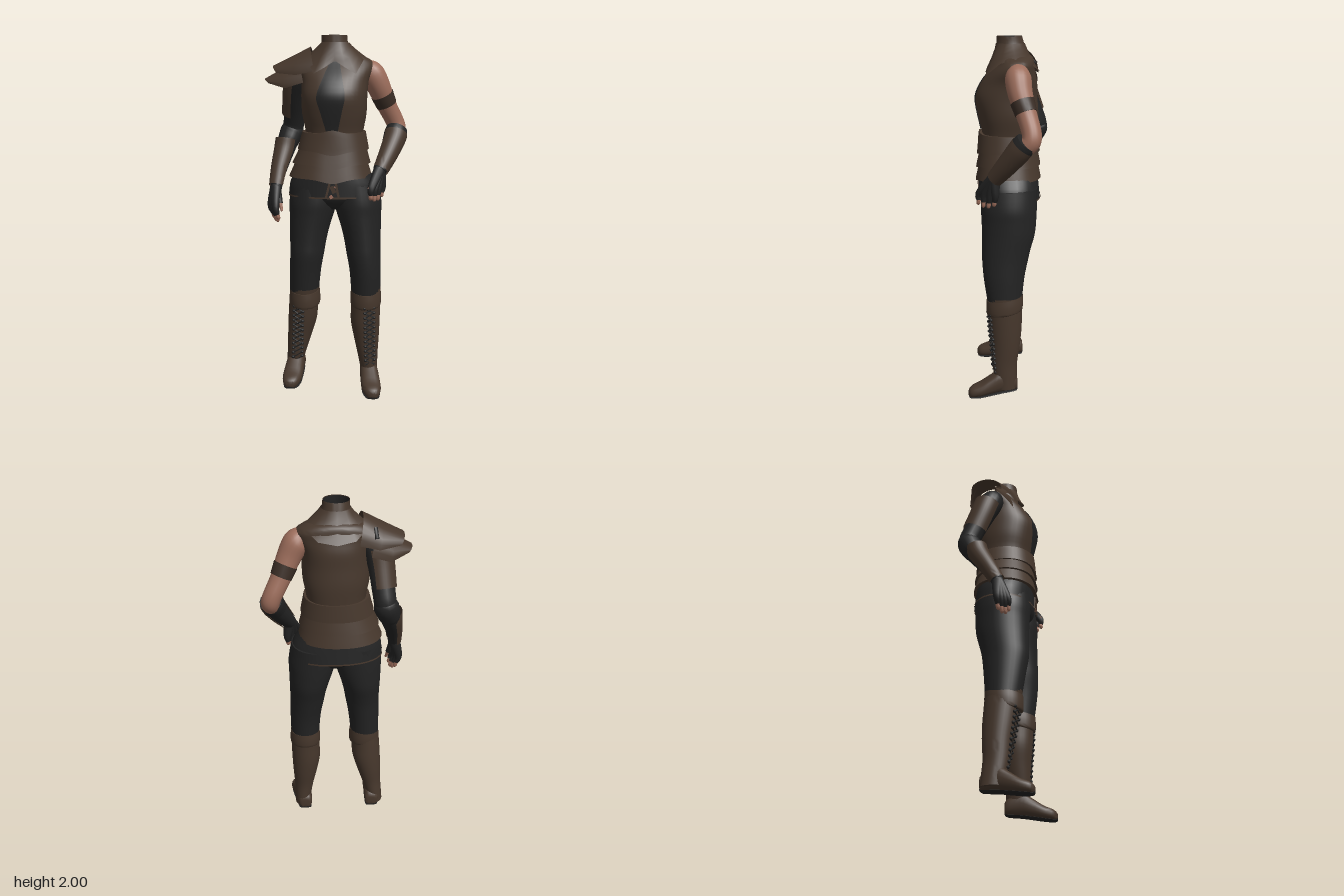
import * as THREE from 'three';
import { toCreasedNormals } from 'three/addons/utils/BufferGeometryUtils.js';

const mat = (name, color, side = THREE.FrontSide) => {
  const m = new THREE.MeshStandardMaterial({ color, side });
  m.name = name;
  return m;
};
const V = (x, y, z) => new THREE.Vector3(x, y, z);

// Catmull-Rom smoothing of a list of equal-length number rows
function smooth(keys, sub = 4) {
  const out = [], n = keys.length, at = i => keys[Math.min(n - 1, Math.max(0, i))];
  for (let i = 0; i < n - 1; i++) for (let s = 0; s < sub; s++) {
    const t = s / sub, [a, b, c, d] = [at(i - 1), at(i), at(i + 1), at(i + 2)];
    out.push(b.map((q, k) => q + 0.5 * t * (c[k] - a[k] + t * (2 * a[k] - 5 * q + 4 * c[k] - d[k]
      + t * (3 * (q - c[k]) + d[k] - a[k])))));
  }
  out.push(keys[n - 1]);
  return out;
}

// Surface over rows of points, optionally closed round and capped at the ends
function skin(rows, closed = true, cap = true) {
  if (cap) {
    const mid = r => { const c = r.reduce((s, p) => s.add(p), V(0, 0, 0)).divideScalar(r.length); return r.map(() => c); };
    rows = [mid(rows[0]), ...rows, mid(rows[rows.length - 1])];
  }
  const m = rows[0].length, idx = [];
  for (let i = 0; i < rows.length - 1; i++) for (let j = 0; j < (closed ? m : m - 1); j++) {
    const k = (j + 1) % m, a = i * m + j, b = i * m + k;
    idx.push(a, b, a + m, b, b + m, a + m);
  }
  const g = new THREE.BufferGeometry().setFromPoints(rows.flat());
  g.setIndex(idx);
  return toCreasedNormals(g, 0.8);
}

const pw = (v, n) => Math.sign(v) * Math.abs(v) ** (2 / n);

// Horizontal rings listed downward: [y, cx, cz, rx, rz]
function loft(keys, { n = 2, seg = 32, sub = 4, cap = true, warp } = {}) {
  const rows = smooth(keys, sub).map(([y, cx, cz, rx, rz]) => Array.from({ length: seg }, (_, j) => {
    const a = j / seg * Math.PI * 2;
    const p = V(cx - rx * pw(Math.cos(a), n), y, cz - rz * pw(Math.sin(a), n));
    if (warp) warp(p);
    return p;
  }));
  return skin(rows, true, cap);
}

// Front depth of a loft at x, y
function frontZ(keys, x, y, n = 2) {
  const r = smooth(keys, 4), i = Math.max(1, r.findIndex(q => q[0] <= y));
  const t = (r[i - 1][0] - y) / (r[i - 1][0] - r[i][0]);
  const [, cx, cz, rx, rz] = r[i].map((q, k) => r[i - 1][k] + (q - r[i - 1][k]) * t);
  return cz + rz * Math.max(0, 1 - Math.abs((x - cx) / rx) ** n) ** (1 / n);
}

// Round limb along a path: [x, y, z, r]; arc limits how far it wraps
function limb(keys, { seg = 18, sub = 5, arc } = {}) {
  const k = smooth(keys, sub), P = k.map(q => V(q[0], q[1], q[2]));
  const rows = k.map((q, i) => {
    const t = P[Math.min(i + 1, P.length - 1)].clone().sub(P[Math.max(i - 1, 0)]).normalize();
    const u = t.clone().cross(V(0, 0, 1)).normalize(), v = t.clone().cross(u);
    const count = arc ? seg + 1 : seg, [a0, a1] = arc || [0, Math.PI * 2];
    return Array.from({ length: count }, (_, j) => {
      const a = a0 + (a1 - a0) * j / seg;
      return P[i].clone().addScaledVector(u, q[3] * Math.cos(a)).addScaledVector(v, q[3] * Math.sin(a));
    });
  });
  return skin(rows, !arc, !arc);
}

export function createModel() {
  const root = new THREE.Group();
  const leather = mat('brown leather', 0x46372c), plate = mat('brown leather plate', 0x46372c, THREE.DoubleSide);
  const black = mat('black cloth', 0x232323), lining = mat('black lining', 0x232323, THREE.DoubleSide);
  const flesh = mat('skin', 0x9c6d5b), band = mat('dark strap', 0x3a2d25);
  const add = (name, geo, m, parent = root) => {
    const o = new THREE.Mesh(geo, m);
    o.name = name;
    parent.add(o);
    return o;
  };

  // Vest
  const torso = [
    [1.905, -0.005, -0.035, 0.1, 0.075], [1.89, 0, -0.04, 0.15, 0.09], [1.86, 0, -0.038, 0.198, 0.1],
    [1.82, 0, -0.022, 0.2, 0.12], [1.76, -0.005, -0.005, 0.183, 0.15], [1.68, -0.01, 0.01, 0.18, 0.168],
    [1.58, -0.01, 0, 0.176, 0.164], [1.47, -0.01, -0.008, 0.158, 0.15], [1.35, -0.02, 0, 0.17, 0.15]];
  add('vest', loft(torso, { n: 2.3, seg: 40 }), leather);

  // Dark chest panel following the vest
  const panel = smooth([[1.86, -0.03, 0.02], [1.78, -0.065, 0.035], [1.68, -0.1, 0.05], [1.6, -0.08, 0.035], [1.48, -0.045, 0.01]])
    .map(([y, a, b]) => Array.from({ length: 9 }, (_, j) => {
      const x = a + (b - a) * j / 8;
      return V(x, y, frontZ(torso, x, y, 2.3) + 0.005);
    }));
  add('chestPanel', skin(panel, false, false), lining);

  // Collar stand, dark inside, and folded pointed flap
  const neck = [[2.0, -0.01, -0.006, 0.069, 0.067], [1.95, -0.008, -0.012, 0.074, 0.076], [1.87, 0, -0.02, 0.1, 0.09]];
  add('collarStand', loft(neck, { cap: false }), plate);
  add('collarLining', loft(neck.map(([y, x, z, a, b]) => [y - 0.002, x, z, a - 0.004, b - 0.004]), { cap: false }), lining);
  add('neckFill', loft([[1.92, -0.008, -0.015, 0.076, 0.076], [1.9, -0.008, -0.015, 0.076, 0.076]]), black);
  const half = [[0.055, 1.83, 0.115], [0.112, 1.798, 0.124], [0.15, 1.865, 0.045], [0.165, 1.885, -0.035], [0.14, 1.865, -0.11], [0.095, 1.83, -0.152]];
  const rim = [[0, 1.865, 0.09], ...half, [0, 1.815, -0.168], ...half.map(([x, y, z]) => [-x, y, z]).reverse()];
  const flap = [0, 0.25, 0.5, 0.75, 1].map(t => rim.map(([x, y, z]) => {
    const a = Math.atan2(x, z + 0.015), s = t ** 1.15;
    const top = V(-0.007 + Math.sin(a) * 0.076, 1.962, -0.011 + Math.cos(a) * 0.077);
    return V(top.x + (x - 0.004 - top.x) * s, top.y + (y - top.y) * t, top.z + (z - top.z) * s);
  }));
  add('collarFlap', skin(flap, true, false), plate);

  // Three overlapping waist tiers, dipping at the front
  const dip = p => { if (p.z > 0) p.y -= 0.022 * Math.exp(-(((p.x + 0.015) / 0.07) ** 2)); };
  const peak = p => { if (p.z > 0 && p.y > 1.45) p.y += 0.018 * Math.exp(-(((p.x + 0.015) / 0.05) ** 2)); else dip(p); };
  [[[1.485, -0.012, -0.004, 0.175, 0.164], [1.39, -0.016, 0, 0.197, 0.174]],
    [[1.42, -0.014, 0, 0.176, 0.156], [1.315, -0.026, 0, 0.216, 0.178]],
    [[1.34, -0.024, 0, 0.192, 0.16], [1.24, -0.031, 0, 0.23, 0.181]]].forEach((keys, i) =>
    add('waistTier' + (i + 1), loft(keys, { n: 2.2, seg: 48, sub: 3, warp: i ? dip : peak }), leather));

  // Hips, hem and trim
  add('hips', loft([[1.27, -0.02, 0, 0.2, 0.15], [1.16, -0.01, 0, 0.245, 0.15], [1.1, -0.008, 0, 0.2, 0.125],
    [1.06, -0.006, 0, 0.08, 0.08]], { n: 2.2 }), black);
  add('shirtHem', loft([[1.26, -0.02, 0, 0.212, 0.163], [1.2, -0.014, -0.003, 0.243, 0.166], [1.135, -0.012, -0.006, 0.252, 0.17]],
    { n: 2.3, cap: false }), lining);
  add('hemTrim', loft([[1.142, -0.012, -0.006, 0.254, 0.173], [1.133, -0.012, -0.006, 0.255, 0.173]], { n: 2.3, sub: 1, cap: false }), plate);
  [[-0.04, 1.18, -0.25, 0.012, 0.085, leather], [0.012, 1.175, 0.2, 0.012, 0.085, leather], [-0.012, 1.185, 0.4, 0.022, 0.04, leather],
    [-0.022, 1.145, 0.7, 0.018, 0.018, flesh], [0.004, 1.2, 0.7, 0.014, 0.014, flesh]].forEach(([x, y, tilt, w, h, m]) => {
    const o = add('hemSlitTrim', new THREE.BoxGeometry(w, h, 0.008), m);
    o.position.set(x, y, 0.166);
    o.rotation.z = tilt;
  });

  // Legs and boots; the right one stands a little further out and back
  const leg = [[1.2, 0.11, -0.005, 0.125, 0.15], [1.1, 0.12, 0, 0.133, 0.153], [1.03, 0.128, 0, 0.125, 0.15], [0.95, 0.14, 0.003, 0.112, 0.145],
    [0.87, 0.149, 0.014, 0.102, 0.134], [0.8, 0.155, 0.022, 0.096, 0.126], [0.7, 0.165, 0.028, 0.088, 0.112], [0.56, 0.17, 0.025, 0.082, 0.095]];
  const shaft = [[0.6, 0.17, 0.025, 0.083, 0.099], [0.5, 0.17, 0.022, 0.083, 0.094], [0.4, 0.168, 0.02, 0.083, 0.09],
    [0.3, 0.175, 0.02, 0.072, 0.08], [0.2, 0.183, 0.025, 0.058, 0.07], [0.12, 0.19, 0.022, 0.05, 0.065], [0.05, 0.193, 0.018, 0.046, 0.06]];
  // Foot sections: [z, bottom, top, half width]
  const foot = [[-0.047, 0.04, 0.09, 0.02], [-0.035, 0.03, 0.12, 0.04], [0.04, 0.024, 0.16, 0.05], [0.1, 0.016, 0.125, 0.054],
    [0.16, 0.007, 0.085, 0.055], [0.205, 0.002, 0.066, 0.044], [0.225, 0.003, 0.052, 0.028], [0.232, 0.012, 0.038, 0.008]];
  for (const s of [1, -1]) {
    const f = y => s > 0 ? 0 : Math.max(0, (0.6 - y) / 0.6);
    const place = ([y, x, z, a, b]) => s > 0 ? [y, x, z, a, b]
      : [y + 0.04 * f(y), -(x + 0.009 + 0.05 * f(y)), z - (y < 0.75 ? 0.008 : 0) - 0.042 * f(y), a, b];
    const side = new THREE.Group();
    side.name = s > 0 ? 'leftLeg' : 'rightLeg';
    root.add(side);
    add('trouserLeg', loft(leg.map(place)), black, side);
    const sh = shaft.map(place);
    add('bootShaft', loft(sh), leather, side);
    const [, kx, kz] = sh[0];
    add('bootCuff', loft([[0.59, kx, kz, 0.084, 0.101], [0.55, kx, kz, 0.088, 0.103], [0.51, kx, kz, 0.087, 0.1], [0.503, kx, kz, 0.08, 0.092]],
      { warp: p => { p.y -= (p.z - kz) * 0.16; } }), leather, side);
    const cx = s > 0 ? 0.197 : -0.241, dz = s > 0 ? 0 : -0.046, dy = s > 0 ? 0 : 0.036;
    const footRows = sole => smooth(foot, 3).map(([z, lo, hi, w]) => Array.from({ length: 20 }, (_, j) => {
      const a = j / 10 * Math.PI, l = Math.max(0, lo), x = cx + s * (z - 0.1) * 0.12;
      const h = sole ? 0.008 : hi - l - 0.003, base = sole ? l : l + 0.003;
      return V(x + (sole ? w * 0.9 : w) * pw(Math.cos(a), 2.6), base + dy + h * (0.5 + 0.5 * pw(Math.sin(a), 2.4)), z + dz);
    }));
    add('bootFoot', skin(footRows(false)), leather, side);
    add('bootSole', skin(footRows(true)), black, side);
    // Criss-cross lacing with side knots
    const spot = (y, e) => {
      const x = (s > 0 ? 0.19 + (0.5 - y) * 0.02 : -0.21 - (0.5 - y) * 0.04) + e * 0.026;
      return [x, y, frontZ(sh, x, y) + 0.004, 0.005];
    };
    for (let i = 0; i < 12; i++) {
      const y = 0.5 - i * 0.029;
      for (const e of [1, -1]) {
        add('lace', limb([spot(y, e), spot(y - 0.029, -e)], { seg: 5, sub: 1 }), black, side);
        const knot = add('laceKnot', new THREE.SphereGeometry(0.009, 8, 6), black, side);
        knot.position.set(...spot(y, e).slice(0, 3));
      }
    }
  }

  // Gloved hand: fingers fan from the wrist to a line of knuckles
  const hand = (name, wrist, k0, k1, drop, thumb) => {
    const g = new THREE.Group();
    g.name = name;
    root.add(g);
    for (let i = 0; i < 4; i++) {
      const k = V(...k0).lerp(V(...k1), i / 3), len = [0.85, 1, 1, 0.8][i];
      const tip = k.clone().addScaledVector(V(...drop), len), half = k.clone().lerp(tip, 0.6);
      add('glovedFinger', limb([[...wrist, 0.033], [...k, 0.021], [...half, 0.013]], { seg: 10 }), black, g);
      add('fingertip', limb([[...half, 0.0115], [...half.clone().lerp(tip, 0.7), 0.011], [...tip, 0.005]], { seg: 10, sub: 3 }), flesh, g);
    }
    const t0 = V(...wrist), t1 = V(...thumb), tm = t0.clone().lerp(t1, 0.7);
    add('glovedThumb', limb([[...t0, 0.025], [...tm, 0.015]], { seg: 10 }), black, g);
    add('thumbTip', limb([[...tm, 0.012], [...t1, 0.007]], { seg: 10 }), flesh, g);
  };

  // Left arm: bare to the elbow, then cuff and outer bracer over a black sleeve, hand on hip
  add('leftUpperArm', limb([[0.16, 1.83, -0.045, 0.05], [0.195, 1.795, -0.045, 0.068], [0.235, 1.72, -0.055, 0.064],
    [0.28, 1.62, -0.085, 0.054], [0.322, 1.54, -0.108, 0.051], [0.338, 1.495, -0.108, 0.05], [0.335, 1.465, -0.085, 0.048]]), flesh);
  add('leftArmStrap', limb([[0.252, 1.683, -0.065, 0.0635], [0.278, 1.625, -0.083, 0.0575]], { sub: 2 }), band);
  add('leftElbowCuff', limb([[0.337, 1.487, -0.083, 0.06], [0.328, 1.462, -0.062, 0.063], [0.312, 1.42, -0.03, 0.058]]), black);
  add('leftForearm', limb([[0.325, 1.445, -0.05, 0.056], [0.285, 1.36, 0.015, 0.05], [0.24, 1.28, 0.08, 0.038]]), black);
  add('leftBracer', limb([[0.33, 1.465, -0.065, 0.066], [0.32, 1.435, -0.042, 0.064], [0.285, 1.36, 0.015, 0.056], [0.243, 1.28, 0.078, 0.045]],
    { arc: [2.2, 6.0] }), plate);
  hand('leftHand', [0.24, 1.285, 0.08], [0.195, 1.195, 0.158], [0.255, 1.195, 0.075], [-0.005, -0.078, 0.01], [0.18, 1.19, 0.17]);

  // Right arm: sleeved, hanging, with outer bracer
  add('rightSleeve', limb([[-0.16, 1.82, -0.045, 0.05], [-0.2, 1.78, -0.055, 0.07], [-0.228, 1.68, -0.095, 0.064], [-0.243, 1.56, -0.15, 0.06],
    [-0.255, 1.48, -0.17, 0.058], [-0.285, 1.39, -0.125, 0.053], [-0.32, 1.27, -0.04, 0.042], [-0.335, 1.18, 0.012, 0.034]]), black);
  add('rightElbowPad', limb([[-0.25, 1.5, -0.166, 0.058], [-0.257, 1.475, -0.168, 0.066], [-0.275, 1.425, -0.145, 0.062], [-0.283, 1.4, -0.13, 0.056]]), black);
  add('rightBracer', limb([[-0.288, 1.425, -0.12, 0.062], [-0.297, 1.37, -0.1, 0.06], [-0.32, 1.27, -0.04, 0.05], [-0.333, 1.18, 0.01, 0.043]],
    { arc: [3.7, 7.6] }), plate);
  hand('rightHand', [-0.335, 1.18, 0.012], [-0.365, 1.075, 0.015], [-0.335, 1.07, 0.065], [0.022, -0.09, 0.005], [-0.3, 1.045, 0.06]);
  add('upperArmPlate', limb([[-0.215, 1.76, -0.075, 0.078], [-0.228, 1.68, -0.1, 0.076], [-0.238, 1.57, -0.14, 0.074]],
    { arc: [-1.3, 2.1] }), plate);

  // Right shoulder plates: arched stations [x, top, edge, z, half width]
  const pauldron = (name, stations) => add(name, skin(stations.map(([x, top, edge, z, w]) =>
    Array.from({ length: 13 }, (_, j) => {
      const a = (j / 12 - 0.5) * Math.PI;
      return V(x + 0.025 * (1 - Math.cos(a)), edge + (top - edge) * Math.cos(a), z + w * Math.sin(a));
    })), false, false), plate);
  pauldron('upperPauldron', [[-0.14, 1.94, 1.81, -0.04, 0.128], [-0.24, 1.89, 1.79, -0.05, 0.128], [-0.35, 1.838, 1.8, -0.06, 0.085]]);
  pauldron('lowerPauldron', [[-0.2, 1.875, 1.75, -0.05, 0.12], [-0.3, 1.82, 1.72, -0.05, 0.115], [-0.395, 1.768, 1.745, -0.05, 0.06]]);
  add('pauldronStrap', limb([[-0.195, 1.887, -0.123, 0.011], [-0.2, 1.843, -0.161, 0.011]], { seg: 8, sub: 2 }), black);

  return root;
}
